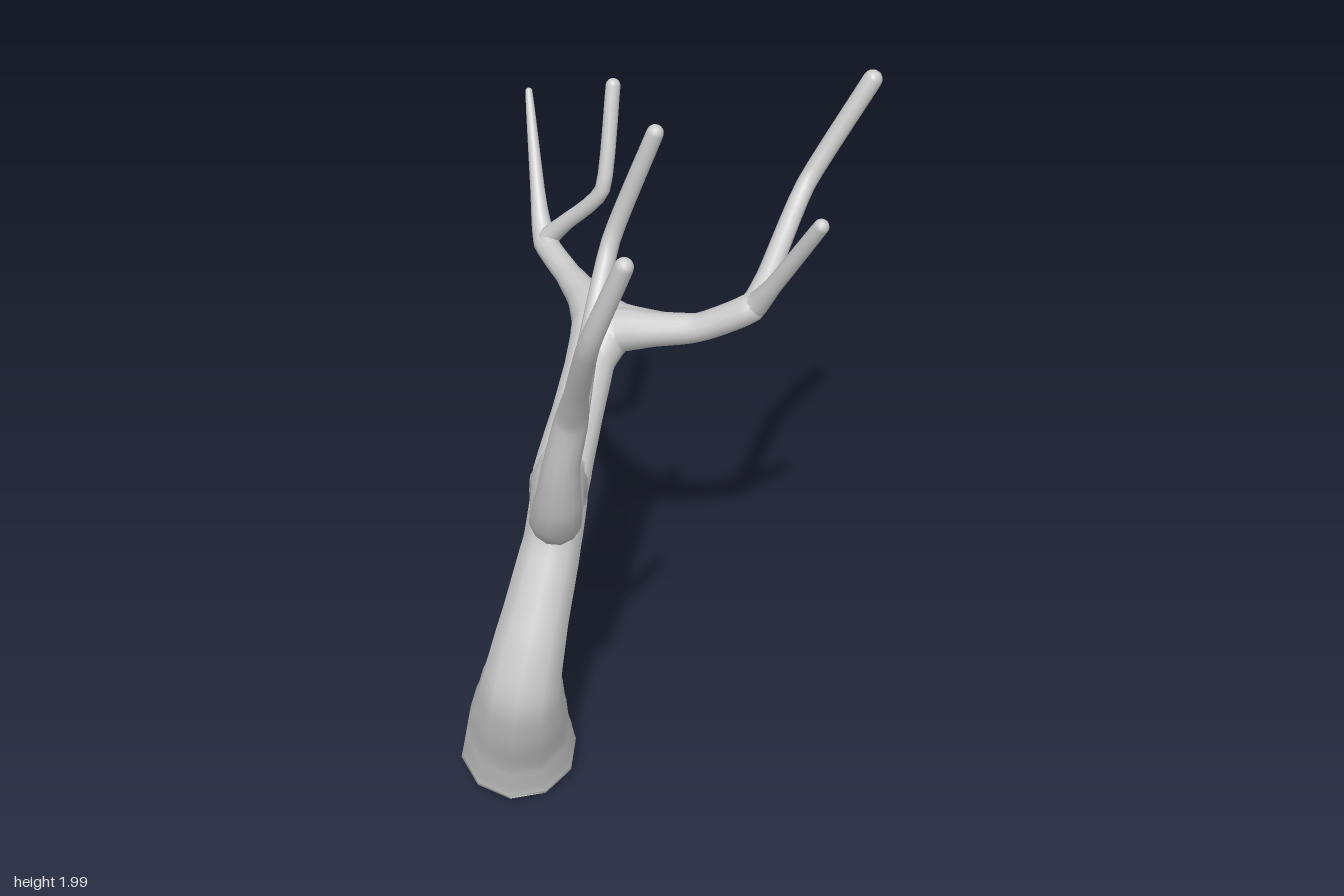
import * as THREE from 'three';

const material = new THREE.MeshStandardMaterial({ color: 0xcccccc });

// Lofts a smooth tapered limb through waypoints [x, y, z, radius].
function limb(name, points, { sides = 12, steps = 5, roundTip = true } = {}) {
  const curve = new THREE.CatmullRomCurve3(
    points.map(([x, y, z]) => new THREE.Vector3(x, y, z)), false, 'catmullrom', 0.3);
  const spans = points.length - 1;
  const rings = [];
  for (let i = 0; i <= spans * steps; i++) {
    const t = i / (spans * steps);
    const k = Math.min(Math.floor(t * spans), spans - 1);
    const radius = THREE.MathUtils.lerp(points[k][3], points[k + 1][3], t * spans - k);
    rings.push({ centre: curve.getPoint(t), tangent: curve.getTangent(t), radius });
  }

  // Rounded tip: shrinking rings past the end of the curve
  const last = rings[rings.length - 1];
  if (roundTip) {
    for (const a of [0.4, 0.8, 1.2]) {
      rings.push({
        centre: last.centre.clone().addScaledVector(last.tangent, last.radius * Math.sin(a)),
        tangent: last.tangent,
        radius: last.radius * Math.cos(a),
      });
    }
  }

  // Carry one side direction along the curve so the rings do not twist
  const side = new THREE.Vector3(1, 0, 0);
  const position = [], index = [];
  for (const { centre, tangent, radius } of rings) {
    side.addScaledVector(tangent, -side.dot(tangent)).normalize();
    const other = new THREE.Vector3().crossVectors(tangent, side);
    for (let j = 0; j < sides; j++) {
      const a = (j / sides) * Math.PI * 2;
      const p = centre.clone()
        .addScaledVector(side, radius * Math.cos(a))
        .addScaledVector(other, radius * Math.sin(a));
      position.push(p.x, p.y, p.z);
    }
  }
  for (let i = 0; i < rings.length - 1; i++) {
    for (let j = 0; j < sides; j++) {
      const a = i * sides + j, b = i * sides + (j + 1) % sides;
      index.push(a, b, a + sides, b, b + sides, a + sides);
    }
  }

  // Close both ends with fans
  const first = rings[0].centre, end = rings[rings.length - 1].centre;
  const startId = position.length / 3, endId = startId + 1;
  position.push(first.x, first.y, first.z, end.x, end.y, end.z);
  const top = (rings.length - 1) * sides;
  for (let j = 0; j < sides; j++) {
    const n = (j + 1) % sides;
    index.push(startId, n, j, endId, top + j, top + n);
  }

  const geometry = new THREE.BufferGeometry();
  geometry.setAttribute('position', new THREE.Float32BufferAttribute(position, 3));
  geometry.setIndex(index);
  geometry.computeVertexNormals();
  const mesh = new THREE.Mesh(geometry, material);
  mesh.name = name;
  return mesh;
}

export function createModel() {
  const tree = new THREE.Group();
  tree.name = 'bareTree';

  // Bent trunk with a blunt, rounded foot
  tree.add(limb('trunk', [
    [-0.25, 0.005, -0.09, 0.1], [-0.25, 0.07, -0.09, 0.15], [-0.29, 0.2, -0.05, 0.132],
    [-0.35, 0.36, 0.02, 0.113], [-0.375, 0.47, 0.055, 0.099], [-0.335, 0.6, 0.055, 0.087],
    [-0.24, 0.8, 0.035, 0.072], [-0.205, 0.9, 0.025, 0.07], [-0.185, 0.96, 0.015, 0.064],
  ], { sides: 10 }));

  // Right limb: sweeps out, turns up at the elbow and ends in two twigs
  const rightSide = new THREE.Group();
  rightSide.name = 'rightBranches';
  rightSide.add(
    limb('rightLimb', [
      [-0.22, 0.85, 0.03, 0.064], [-0.215, 0.95, 0.035, 0.07], [-0.29, 1.025, 0.105, 0.062],
      [-0.455, 1.1, 0.255, 0.058], [-0.505, 1.2, 0.31, 0.05], [-0.53, 1.32, 0.345, 0.039],
      [-0.535, 1.45, 0.38, 0.035], [-0.57, 1.54, 0.425, 0.026], [-0.645, 1.74, 0.53, 0.021],
      [-0.636, 1.925, 0.605, 0.018],
    ]),
    limb('rightInnerTwig', [
      [-0.537, 1.37, 0.36, 0.03], [-0.52, 1.47, 0.375, 0.031], [-0.46, 1.56, 0.352, 0.022],
      [-0.33, 1.74, 0.3, 0.019], [-0.285, 1.98, 0.372, 0.017],
    ]),
  );

  // Left limb: rises to a node, then its rear arm runs back
  const leftSide = new THREE.Group();
  leftSide.name = 'leftBranches';
  leftSide.add(
    limb('leftLimb', [
      [-0.22, 0.85, 0.03, 0.064], [-0.175, 0.95, 0.008, 0.071], [-0.08, 1.035, -0.035, 0.063],
      [0.02, 1.11, -0.085, 0.06], [0.1, 1.17, -0.13, 0.064], [0.15, 1.19, -0.21, 0.046],
      [0.195, 1.2, -0.31, 0.033], [0.25, 1.22, -0.44, 0.031], [0.285, 1.29, -0.495, 0.021],
      [0.383, 1.535, -0.618, 0.009],
    ]),
    limb('leftRearTwig', [
      [0.22, 1.205, -0.38, 0.024], [0.255, 1.235, -0.435, 0.027], [0.27, 1.29, -0.39, 0.021],
      [0.3, 1.405, -0.293, 0.019], [0.37, 1.645, -0.322, 0.018],
    ]),
    limb('leftFrontArm', [
      [0.02, 1.11, -0.085, 0.05], [0.1, 1.175, -0.085, 0.06], [0.135, 1.2, 0, 0.044],
      [0.19, 1.225, 0.11, 0.034], [0.25, 1.295, 0.215, 0.035], [0.32, 1.345, 0.205, 0.026],
      [0.515, 1.49, 0.157, 0.023], [0.638, 1.74, 0.238, 0.023],
    ]),
    limb('leftFrontTwig', [
      [0.22, 1.25, 0.16, 0.026], [0.252, 1.305, 0.225, 0.03], [0.248, 1.375, 0.275, 0.021],
      [0.243, 1.575, 0.4, 0.018],
    ]),
  );

  // Webs that fill the crotches where limbs meet
  tree.add(
    limb('trunkFork', [
      [-0.33, 1.04, 0.14, 0.045], [-0.19, 0.975, 0.02, 0.058], [-0.05, 1.06, -0.05, 0.045],
    ]),
    limb('leftFork', [
      [0.165, 1.215, 0.06, 0.03], [0.13, 1.185, -0.1, 0.05], [0.17, 1.195, -0.26, 0.032],
    ]),
    rightSide, leftSide,
  );
  return tree;
}
